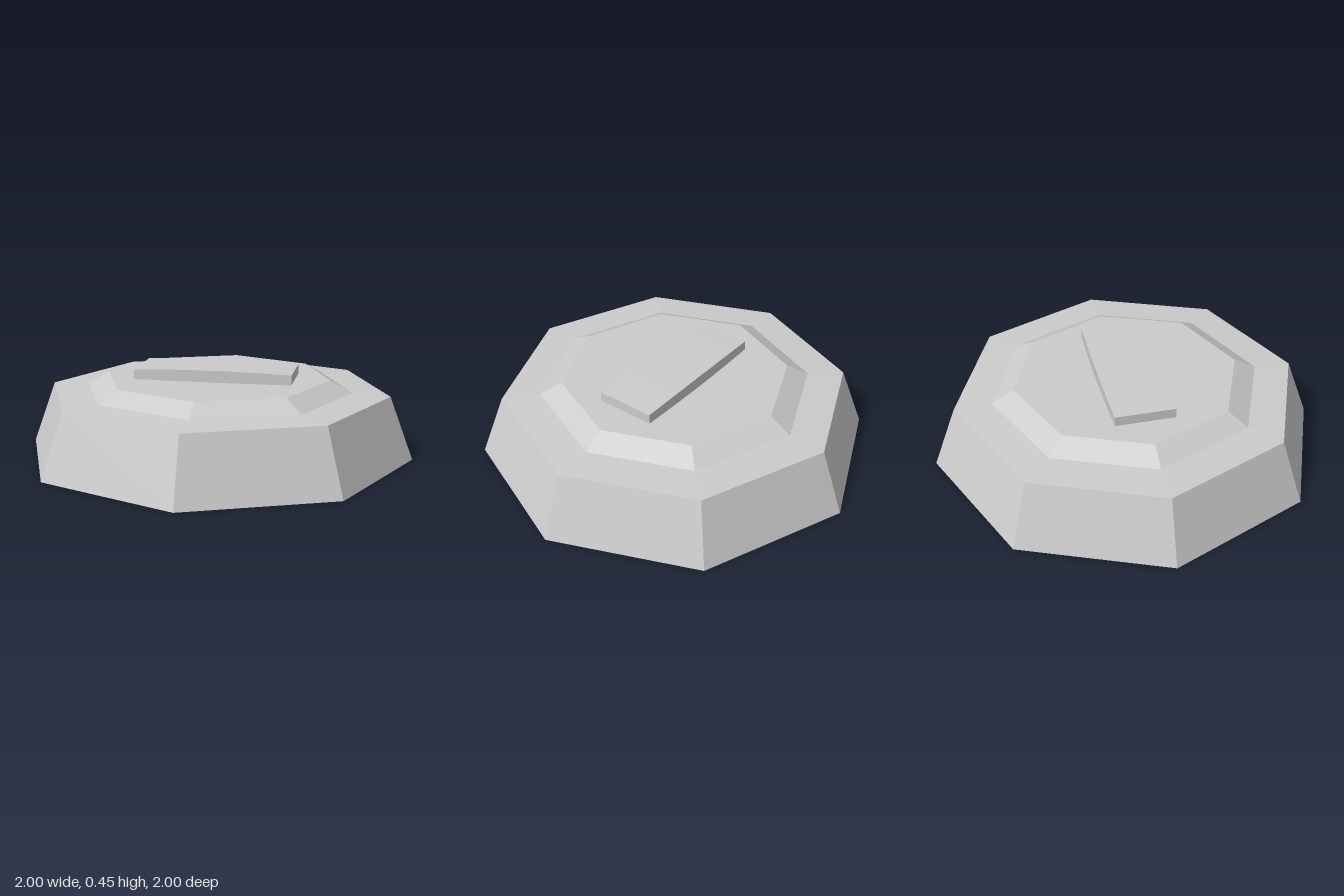
import * as THREE from 'three';

export function createModel() {
  const group = new THREE.Group();
  const material = new THREE.MeshStandardMaterial({ color: 0xcccccc, flatShading: true });

  const add = (name, geometry) => {
    const mesh = new THREE.Mesh(geometry, material);
    mesh.name = name;
    group.add(mesh);
    return mesh;
  };

  // Eight-sided turned solid: profile rings as [radius, height], corners on the x and z axes
  const octagon = (rings) =>
    new THREE.LatheGeometry(rings.map(([r, y]) => new THREE.Vector2(r, y)), 8);

  // Tapered base with a closed underside and a barely sloping shoulder
  add('base', octagon([[0, 0], [1, 0], [0.88, 0.32], [0.69, 0.33]]));

  // Raised, bevelled lid on top of the shoulder
  add('raisedLid', octagon([[0.69, 0.33], [0.578, 0.39], [0, 0.39]]));

  // Bar on the lid, gently bowed at its top and long sides
  const bottom = 0.385, top = 0.44, length = 0.8;
  const bar = new THREE.BoxGeometry(length, top - bottom, 0.302, 8, 1, 1);
  bar.translate(0, (top + bottom) / 2, 0);
  const p = bar.attributes.position;
  for (let i = 0; i < p.count; i++) {
    const bow = 1 - (p.getX(i) / (length / 2)) ** 2;
    if (p.getY(i) > 0.41) p.setY(i, top + 0.01 * bow);
    p.setZ(i, p.getZ(i) * (1 + 0.05 * bow));
  }
  bar.computeVertexNormals();
  add('topBar', bar);

  return group;
}
